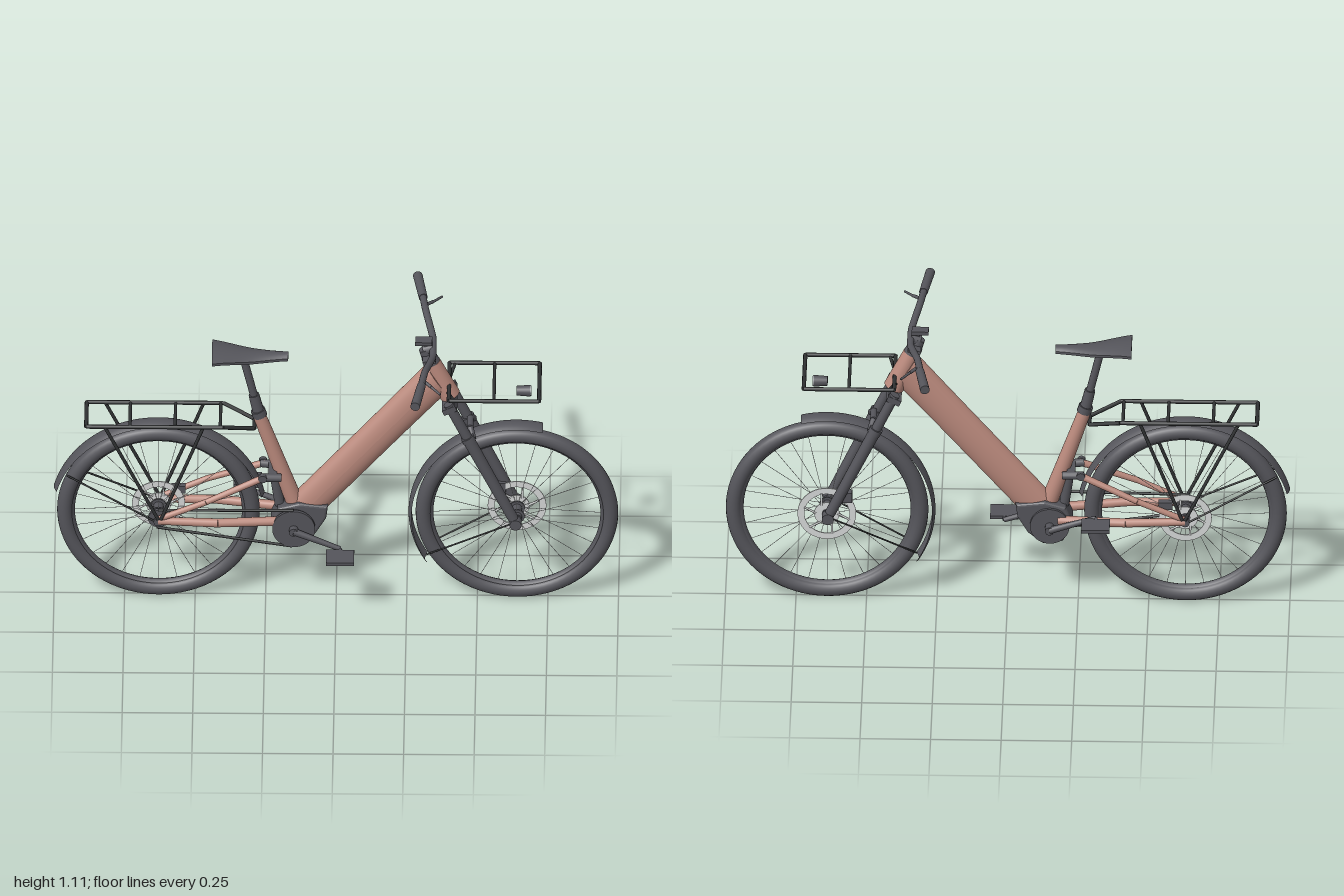
import * as THREE from 'three';

const mat = (name, color, side = THREE.FrontSide) => {
  const m = new THREE.MeshStandardMaterial({ color, side });
  m.name = name;
  return m;
};
const V = (x, y, z = 0) => new THREE.Vector3(x, y, z);
const UP = V(0, 1, 0);

export function createModel() {
  const copper = mat('copper paint', 0xbb8a7d);
  const dark = mat('dark grey', 0x55555b, THREE.DoubleSide);
  const black = mat('black', 0x2f3132);
  const silver = mat('silver', 0xd6d8d8, THREE.DoubleSide);
  const lens = mat('lamp lens', 0xc8cece);

  const bike = new THREE.Group();
  bike.name = 'bicycle';

  const add = (parent, name, geo, m, x = 0, y = 0, z = 0) => {
    const mesh = new THREE.Mesh(geo, m);
    mesh.name = name;
    mesh.position.set(x, y, z);
    parent.add(mesh);
    return mesh;
  };
  // Round bar between two points, r0 at a and r1 at b
  const rod = (parent, name, a, b, r0, m, r1 = r0, seg = 14) => {
    const d = b.clone().sub(a);
    const mesh = add(parent, name, new THREE.CylinderGeometry(r1, r0, d.length(), seg), m);
    mesh.position.copy(a).addScaledVector(d, 0.5);
    mesh.quaternion.setFromUnitVectors(UP, d.normalize());
    return mesh;
  };
  // Closed loop of bars
  const loop = (parent, name, pts, r, m) =>
    pts.forEach((a, i) => rod(parent, name, a, pts[(i + 1) % pts.length], r, m, r, 8));
  const disc = (parent, name, r, depth, m, x, y, z, seg = 32) =>
    add(parent, name, new THREE.CylinderGeometry(r, r, depth, seg).rotateX(Math.PI / 2), m, x, y, z);
  const box = (parent, name, w, h, d, m, x, y, z) =>
    add(parent, name, new THREE.BoxGeometry(w, h, d), m, x, y, z);

  // Wheels with rim, spokes, hub and brake rotor
  const AY = 0.363, FX = 0.64, RX = -0.63;
  const wheel = (name, x, rotorR) => {
    const g = new THREE.Group();
    g.name = name;
    g.position.set(x, AY, 0);
    bike.add(g);
    add(g, 'tyre', new THREE.TorusGeometry(0.331, 0.028, 16, 80), dark);
    const rim = [[0.312, -0.014], [0.312, 0.014], [0.303, 0.013], [0.296, 0], [0.303, -0.013], [0.312, -0.014]];
    add(g, 'rim', new THREE.LatheGeometry(rim.map(p => new THREE.Vector2(...p)), 72).rotateX(Math.PI / 2), dark);
    disc(g, 'hub', 0.018, 0.09, dark, 0, 0, 0, 20);
    disc(g, 'axle', 0.012, 0.16, dark, 0, 0, 0, 16);
    for (const s of [-1, 1]) disc(g, 'hubFlange', 0.028, 0.006, dark, 0, 0, s * 0.026, 24);
    for (let i = 0; i < 28; i++) {
      const a = i / 28 * Math.PI * 2, z = i % 2 ? 0.026 : -0.026;
      rod(g, 'spoke', V(0.026 * Math.cos(a), 0.026 * Math.sin(a), z),
        V(0.298 * Math.cos(a), 0.298 * Math.sin(a), 0), 0.001, silver, 0.001, 5);
    }
    const flatRing = (part, outer, inner) => {
      const ring = new THREE.Shape().absarc(0, 0, outer, 0, Math.PI * 2);
      ring.holes.push(new THREE.Path().absarc(0, 0, inner, 0, Math.PI * 2, true));
      add(g, part, new THREE.ExtrudeGeometry(ring, { depth: 0.004, bevelEnabled: false, curveSegments: 24 }), silver, 0, 0, -0.042);
    };
    flatRing('brakeRotor', rotorR, rotorR - 0.024);
    flatRing('rotorCarrier', 0.045, 0.016);
    for (let i = 0; i < 6; i++) {
      const a = i / 6 * Math.PI * 2, r = rotorR - 0.02;
      rod(g, 'rotorArm', V(0.038 * Math.cos(a), 0.038 * Math.sin(a), -0.04),
        V(r * Math.cos(a + 0.3), r * Math.sin(a + 0.3), -0.04), 0.004, silver, 0.004, 6);
    }
  };
  wheel('frontWheel', FX, 0.104);
  wheel('rearWheel', RX, 0.094);

  // Curved mudguards covering part of each wheel
  const mudguard = (name, x, from, to) => {
    const pts = [];
    for (let i = 0; i <= 8; i++) {
      const t = i / 4 - 1;
      pts.push(new THREE.Vector2(0.384 - 0.011 * t * t, t * 0.034));
    }
    const rad = Math.PI / 180;
    add(bike, name, new THREE.LatheGeometry(pts, 48, (from + 90) * rad, (to - from) * rad).rotateX(Math.PI / 2), dark, x, AY);
  };
  mudguard('frontMudguard', FX, 76, 212);
  mudguard('rearMudguard', RX, 12, 165);

  // Down tube: oval section, top end cut along the head tube
  const down = new THREE.CylinderGeometry(1, 1, 1, 40, 6);
  const p = down.attributes.position;
  for (let i = 0; i < p.count; i++) {
    const t = p.getY(i) + 0.5, k = p.getX(i), e = t ** 4;
    p.setXYZ(i, -0.132 + 0.49 * t + k * (0.049 - 0.012 * e), 0.36 + 0.58 * t - k * (0.039 + 0.019 * e), p.getZ(i) * 0.038);
  }
  down.computeVertexNormals();
  add(bike, 'downTube', down, copper);
  rod(bike, 'headTube', V(0.403, 0.865), V(0.34, 1.004), 0.037, copper, 0.03, 28);
  rod(bike, 'seatTube', V(-0.14, 0.38), V(-0.277, 0.785), 0.031, copper, 0.023, 24);

  // Seat post and saddle
  rod(bike, 'seatClamp', V(-0.27, 0.77), V(-0.278, 0.795), 0.026, dark);
  rod(bike, 'seatPostLower', V(-0.275, 0.785), V(-0.292, 0.86), 0.021, dark, 0.019);
  rod(bike, 'seatPostUpper', V(-0.29, 0.85), V(-0.325, 1.0), 0.014, dark);
  for (const s of [-1, 1]) rod(bike, 'saddleRail', V(-0.4, 1.022, s * 0.022), V(-0.22, 1.022, s * 0.014), 0.004, dark);
  const sad = new THREE.BoxGeometry(1, 1, 1, 16, 2, 10), q = sad.attributes.position;
  for (let i = 0; i < q.count; i++) {
    const t = q.getX(i) + 0.5, k = q.getZ(i) * 2;
    const w = 0.022 + 0.056 * (1 - t) ** 1.25;
    const top = 1.041 + 0.013 * (1 - THREE.MathUtils.smoothstep(t, 0, 0.6)) - 0.012 * k * k;
    q.setXYZ(i, -0.44 + 0.27 * t, top - (0.5 - q.getY(i)) * (0.02 - 0.01 * k * k), k * w);
  }
  sad.computeVertexNormals();
  add(bike, 'saddle', sad, dark);

  // Motor housing at the bottom of the frame
  const motor = new THREE.Shape([[-0.22, 0.34], [-0.2, 0.39], [-0.13, 0.41], [-0.04, 0.4], [-0.045, 0.36],
    [-0.08, 0.3], [-0.13, 0.26], [-0.19, 0.27]].map(a => new THREE.Vector2(...a)));
  add(bike, 'motorHousing', new THREE.ExtrudeGeometry(motor, { depth: 0.07, bevelSize: 0.01, bevelThickness: 0.01, bevelSegments: 3 }), dark, 0, 0, -0.035);
  disc(bike, 'motorCover', 0.07, 0.11, dark, -0.15, 0.328, 0, 36);
  disc(bike, 'frontSprocket', 0.076, 0.012, dark, -0.15, 0.328, 0.062, 40);
  disc(bike, 'rearSprocket', 0.036, 0.012, dark, RX, AY, 0.052, 28);
  rod(bike, 'beltTop', V(-0.63, 0.4, 0.058), V(-0.15, 0.405, 0.062), 0.005, black);
  rod(bike, 'beltBottom', V(-0.635, 0.327, 0.058), V(-0.155, 0.252, 0.062), 0.005, black);

  // Cranks and pedals, mirrored through the crank axle
  disc(bike, 'crankAxle', 0.016, 0.18, dark, -0.15, 0.328, 0, 18);
  for (const s of [-1, 1]) {
    const end = V(-0.15 + s * 0.165, 0.327 - s * 0.062, s * 0.096);
    rod(bike, 'crankArm', V(-0.15, 0.328, s * 0.082), end, 0.013, dark, 0.009);
    rod(bike, 'pedalAxle', end, V(end.x, end.y, s * 0.13), 0.006, dark);
    box(bike, 'pedal', 0.1, 0.013, 0.082, dark, end.x, end.y, s * 0.152);
  }

  // Rear stays, suspension links, carrier legs and mudguard stays
  for (const s of [-1, 1]) {
    rod(bike, 'chainStayRear', V(-0.63, 0.363, s * 0.07), V(-0.42, 0.358, s * 0.074), 0.014, copper, 0.016);
    rod(bike, 'chainStayFront', V(-0.42, 0.358, s * 0.074), V(-0.18, 0.35, s * 0.046), 0.016, copper, 0.017);
    rod(bike, 'seatStayRear', V(-0.63, 0.37, s * 0.07), V(-0.46, 0.447, s * 0.074), 0.011, copper);
    rod(bike, 'seatStayFront', V(-0.46, 0.447, s * 0.074), V(-0.25, 0.538, s * 0.046), 0.011, copper, 0.013);
    disc(bike, 'dropout', 0.016, 0.014, dark, RX, AY, s * 0.074, 18);
    rod(bike, 'suspensionLink', V(-0.27, 0.535, s * 0.046), V(-0.195, 0.53, s * 0.04), 0.015, dark);
    disc(bike, 'linkPivot', 0.015, 0.016, dark, -0.26, 0.537, s * 0.055, 16);
    rod(bike, 'carrierLeg', V(-0.63, 0.375, s * 0.08), V(-0.82, 0.77, s * 0.077), 0.006, black);
    rod(bike, 'carrierLeg', V(-0.62, 0.375, s * 0.08), V(-0.47, 0.77, s * 0.077), 0.006, black);
    rod(bike, 'rearMudguardStay', V(-0.64, AY, s * 0.076), V(-0.955, 0.53, s * 0.033), 0.0035, black);
    rod(bike, 'frontMudguardStay', V(0.63, AY, s * 0.07), V(0.32, 0.2, s * 0.033), 0.003, black);
  }
  rod(bike, 'shockAbsorber', V(-0.22, 0.53), V(-0.2, 0.39), 0.018, dark);
  box(bike, 'linkBridge', 0.03, 0.022, 0.09, dark, -0.225, 0.535, 0);
  box(bike, 'rearBrakeCaliper', 0.05, 0.03, 0.022, dark, -0.56, 0.42, -0.05);

  // Rear carrier
  loop(bike, 'rearCarrierRail', [V(-0.29, 0.735, 0.03), V(-0.4, 0.77, 0.077), V(-0.885, 0.77, 0.077),
    V(-0.885, 0.77, -0.077), V(-0.4, 0.77, -0.077), V(-0.29, 0.735, -0.03)], 0.0075, black);
  for (const x of [-0.73, -0.57, -0.41])
    rod(bike, 'rearCarrierCrossbar', V(x, 0.77, -0.077), V(x, 0.77, 0.077), 0.006, black);

  // Front carrier and headlight
  loop(bike, 'frontCarrierRail', [V(0.4, 0.92, 0.12), V(0.72, 0.92, 0.12), V(0.72, 0.92, -0.12), V(0.4, 0.92, -0.12)], 0.0075, black);
  rod(bike, 'frontCarrierCrossbar', V(0.56, 0.92, -0.12), V(0.56, 0.92, 0.12), 0.006, black);
  for (const s of [-1, 1])
    rod(bike, 'frontCarrierBrace', V(0.395, 0.894, s * 0.03), V(0.42, 0.918, s * 0.12), 0.006, black);
  rod(bike, 'headlight', V(0.638, 0.884), V(0.688, 0.884), 0.017, dark, 0.021, 24);
  rod(bike, 'headlightLens', V(0.686, 0.884), V(0.691, 0.884), 0.018, lens, 0.018, 24);

  // Suspension fork
  const forkAt = (t, z) => V(0.4 + 0.235 * t, 0.865 - 0.5 * t, z);
  for (const s of [-1, 1]) {
    const z = s * 0.067;
    rod(bike, 'forkUpperLeg', forkAt(-0.01, z), forkAt(0.32, z), 0.018, dark, 0.018, 20);
    rod(bike, 'forkLowerLeg', forkAt(0.28, z), forkAt(0.97, z), 0.022, dark, 0.019, 20);
    rod(bike, 'forkCollar', forkAt(0.27, z), forkAt(0.31, z), 0.024, dark, 0.024, 20);
    disc(bike, 'forkEnd', 0.021, 0.034, dark, FX - 0.004, AY, s * 0.07, 20);
    rod(bike, 'forkBrace', forkAt(0.3, s * 0.066).add(V(0.015, 0.005, 0)), V(0.475, 0.745, s * 0.03), 0.012, dark);
  }
  rod(bike, 'forkBraceTop', V(0.475, 0.745, -0.032), V(0.475, 0.745, 0.032), 0.012, dark);
  const crown = box(bike, 'forkCrown', 0.05, 0.022, 0.17, dark, 0.402, 0.852, 0);
  crown.rotation.z = 0.435;
  box(bike, 'frontBrakeCaliper', 0.05, 0.04, 0.026, dark, 0.575, 0.44, -0.05);

  // Stem, handlebar, grips, levers and display
  rod(bike, 'headsetCap', V(0.341, 1.001), V(0.328, 1.028), 0.03, dark, 0.028, 24);
  const wing = box(bike, 'stemCover', 0.045, 0.016, 0.11, dark, 0.33, 1.038, 0);
  wing.rotation.z = 0.3;
  rod(bike, 'stem', V(0.328, 1.02), V(0.312, 1.062), 0.024, dark, 0.02, 20);
  rod(bike, 'stemArm', V(0.31, 1.055), V(0.345, 1.066), 0.02, dark);
  const bar = [V(0.285, 1.094, -0.4), V(0.305, 1.093, -0.27), V(0.316, 1.091, -0.19), V(0.342, 1.067, -0.06)];
  const curve = new THREE.CatmullRomCurve3([...bar, ...bar.map(v => V(v.x, v.y, -v.z)).reverse()], false, 'catmullrom', 0.25);
  add(bike, 'handlebar', new THREE.TubeGeometry(curve, 64, 0.0125, 14), dark);
  for (const s of [-1, 1]) {
    rod(bike, 'grip', V(0.305, 1.092, s * 0.275), V(0.284, 1.094, s * 0.412), 0.0155, dark, 0.017, 20);
    rod(bike, 'leverBase', V(0.312, 1.086, s * 0.238), V(0.34, 1.08, s * 0.268), 0.006, dark);
    rod(bike, 'brakeLever', V(0.338, 1.08, s * 0.265), V(0.372, 1.075, s * 0.307), 0.005, dark, 0.004);
  }
  box(bike, 'displayPost', 0.016, 0.03, 0.016, dark, 0.32, 1.075, 0);
  box(bike, 'display', 0.06, 0.014, 0.038, dark, 0.31, 1.093, 0);

  return bike;
}
